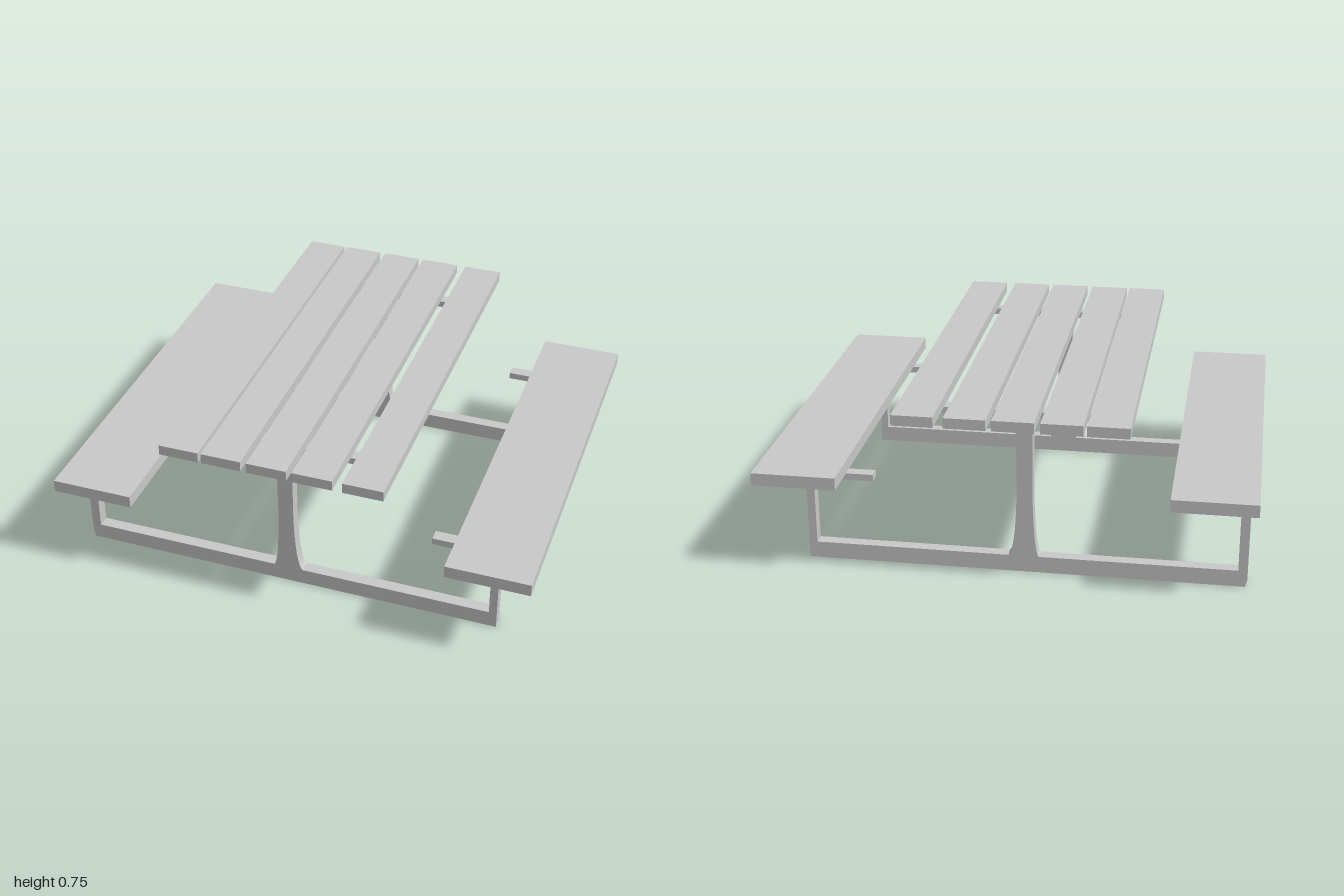
import * as THREE from 'three';

const material = new THREE.MeshStandardMaterial({ color: 0xcccccc, flatShading: true });

// Board spanning the given x, y and z ranges
function board(name, [x0, x1], [y0, y1], [z0, z1]) {
  const mesh = new THREE.Mesh(new THREE.BoxGeometry(x1 - x0, y1 - y0, z1 - z0), material);
  mesh.position.set((x0 + x1) / 2, (y0 + y1) / 2, (z0 + z1) / 2);
  mesh.name = name;
  return mesh;
}

// Outline of one steel frame: base rail, hooked bench posts and flared centre column
function frameShape() {
  const s = new THREE.Shape();
  s.moveTo(-0.96, 0);
  s.lineTo(0.83, 0);
  // left bench post and arm
  s.lineTo(0.83, 0.38);
  s.lineTo(0.822, 0.388);
  s.lineTo(0.55, 0.388);
  s.lineTo(0.55, 0.36);
  s.lineTo(0.797, 0.36);
  s.lineTo(0.797, 0.07);
  // column with flared foot and table bearer
  s.lineTo(-0.003, 0.07);
  s.bezierCurveTo(-0.025, 0.09, -0.034, 0.21, -0.037, 0.33);
  s.lineTo(-0.037, 0.675);
  s.lineTo(0.307, 0.675);
  s.lineTo(0.307, 0.702);
  s.lineTo(-0.444, 0.702);
  s.lineTo(-0.444, 0.675);
  s.lineTo(-0.102, 0.675);
  s.lineTo(-0.102, 0.33);
  s.bezierCurveTo(-0.105, 0.21, -0.112, 0.09, -0.127, 0.07);
  // right bench post and arm
  s.lineTo(-0.93, 0.07);
  s.lineTo(-0.93, 0.36);
  s.lineTo(-0.687, 0.36);
  s.lineTo(-0.687, 0.388);
  s.lineTo(-0.96, 0.388);
  s.lineTo(-0.968, 0.37);
  s.lineTo(-0.968, 0.03);
  s.closePath();
  return s;
}

export function createModel() {
  const group = new THREE.Group();
  group.name = 'picnicTable';

  // Table top planks
  [-0.505, -0.328, -0.14, 0.046, 0.25].forEach((x, i) => {
    group.add(board(`tablePlank${i + 1}`, [x, x + 0.164], [0.702, 0.745], [-0.868, 0.868]));
  });

  // Bench seats
  group.add(board('rightBench', [-1, -0.66], [0.393, 0.445], [-0.828, 0.862]));
  group.add(board('leftBench', [0.658, 1], [0.393, 0.445], [-0.828, 0.862]));

  // Front and back frames
  const geometry = new THREE.ExtrudeGeometry(frameShape(), { depth: 0.05, bevelEnabled: false, curveSegments: 10 });
  for (const [name, z] of [['frontFrame', 0.6], ['backFrame', -0.65]]) {
    const frame = new THREE.Mesh(geometry, material);
    frame.position.z = z;
    frame.name = name;
    group.add(frame);
  }
  return group;
}
